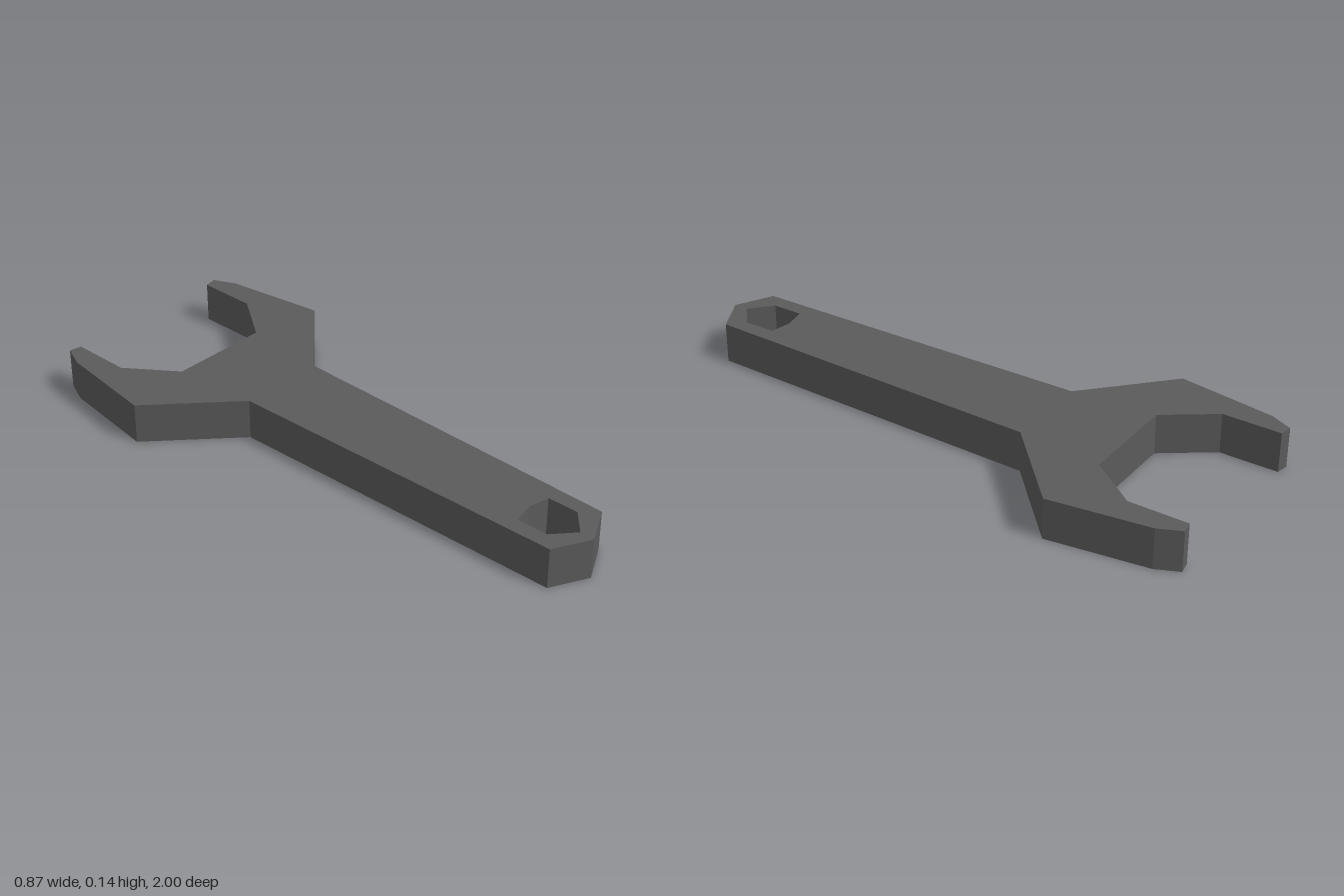
import * as THREE from 'three';

const THICKNESS = 0.145;

// Closed, mirror-symmetric outline from its +x half; points with x = 0 are not repeated
function mirrored(half) {
  const left = half.filter(([x]) => x > 0).reverse().map(([x, y]) => [-x, y]);
  return [...half, ...left].map(([x, y]) => new THREE.Vector2(x, y));
}

export function createModel() {
  const group = new THREE.Group();
  group.name = 'wrench';

  const steel = new THREE.MeshStandardMaterial({ color: 0x5a5a5a });
  steel.name = 'dark steel';

  // Handle tip, tapered shaft, jaw shoulder, prong and jaw floor (y points to the jaw)
  const outline = new THREE.Shape(mirrored([
    [0, -1], [0.13, -0.933], [0.155, 0.307], [0.434, 0.568],
    [0.383, 0.92], [0.347, 1], [0.304, 0.992], [0.304, 0.782], [0.179, 0.61],
  ]));

  // Hanging hole near the end of the handle
  outline.holes.push(new THREE.Path(mirrored([
    [0, -0.948], [0.077, -0.88], [0.077, -0.769], [0, -0.754],
  ])));

  const geometry = new THREE.ExtrudeGeometry(outline, { depth: THICKNESS, bevelEnabled: false });
  geometry.rotateX(-Math.PI / 2); // lay flat, jaw towards the back

  const body = new THREE.Mesh(geometry, steel);
  body.name = 'wrenchBody';
  group.add(body);
  return group;
}
